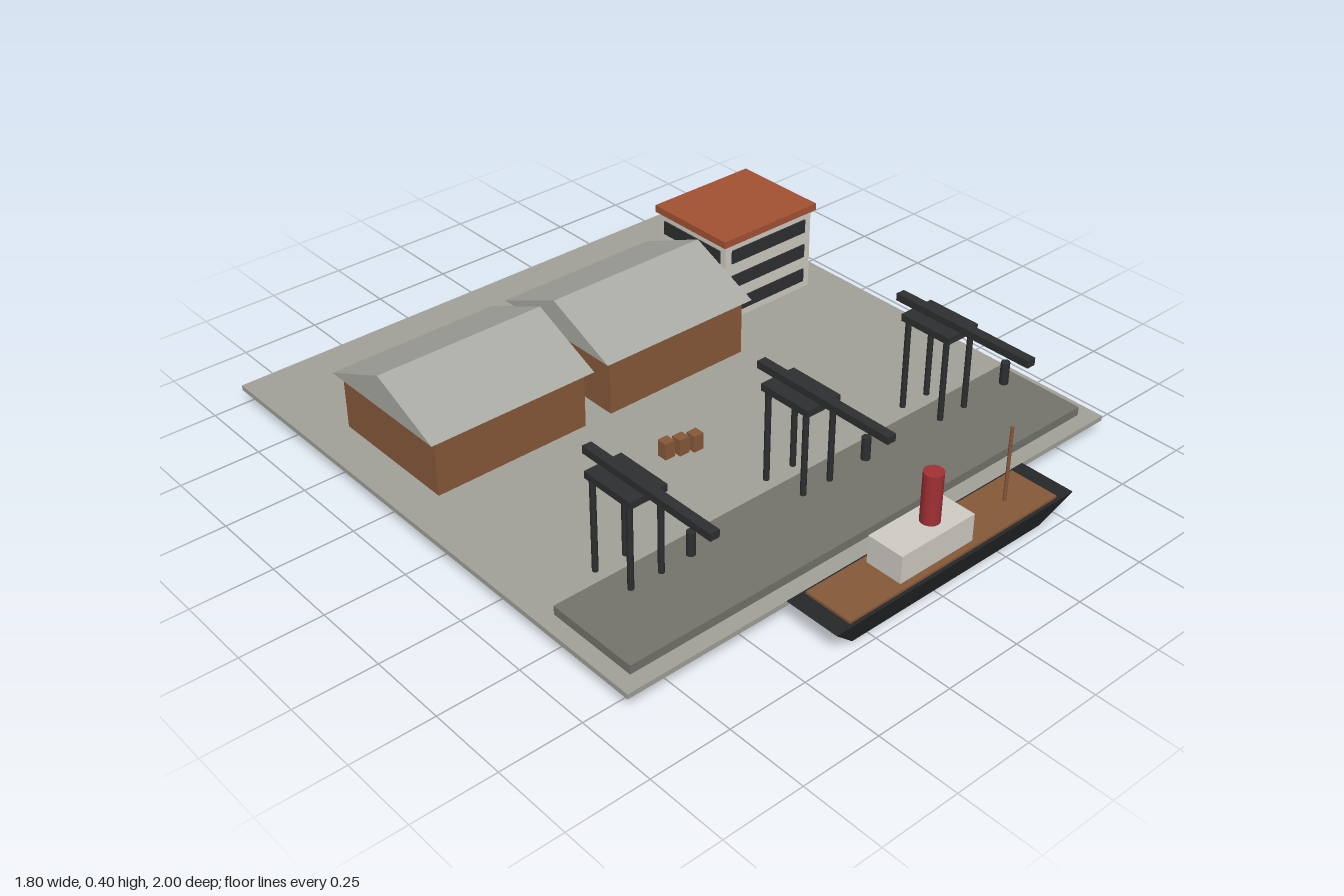
import * as THREE from 'three';

const mat = (name, color) => {
  const m = new THREE.MeshStandardMaterial({ color });
  m.name = name;
  return m;
};

export function createModel() {
  const concrete = mat('concrete', 0xa2a29a);
  const quayStone = mat('quayStone', 0x74736c);
  const brick = mat('brickAndWood', 0x87593a);
  const roofGrey = mat('roofGrey', 0xa9aaa3);
  const plaster = mat('plaster', 0xd0ccc5);
  const terracotta = mat('terracotta', 0xa35233);
  const steel = mat('darkSteel', 0x2d2f30);
  const hullBlack = mat('hullBlack', 0x26282a);
  const funnelRed = mat('funnelRed', 0xa03035);

  const root = new THREE.Group();
  root.name = 'harbour';

  const group = (name, x, z) => {
    const g = new THREE.Group();
    g.name = name;
    g.position.set(x, 0, z);
    root.add(g);
    return g;
  };
  const add = (parent, name, geo, material, x = 0, y = 0, z = 0) => {
    const m = new THREE.Mesh(geo, material);
    m.name = name;
    m.position.set(x, y, z);
    parent.add(m);
    return m;
  };
  // Box given by its centre in x and z and its bottom and top heights
  const box = (parent, name, material, x, z, w, d, y0, y1) =>
    add(parent, name, new THREE.BoxGeometry(w, y1 - y0, d), material, x, (y0 + y1) / 2, z);
  const post = (parent, name, material, x, z, r, y0, y1, sides) =>
    add(parent, name, new THREE.CylinderGeometry(r, r, y1 - y0, sides), material, x, (y0 + y1) / 2, z);

  // Ground slab and raised quay
  const G = 0.064;
  box(root, 'ground', concrete, 0, -0.1, 1.8, 1.8, 0.048, G);
  box(root, 'quay', quayStone, 0, 0.6, 1.7, 0.3, G, 0.092);

  // Two warehouses with gabled roofs
  for (const x of [-0.52, 0.09]) {
    const w = group('warehouse', x, -0.38);
    box(w, 'warehouseWalls', brick, 0, 0, 0.516, 0.45, G, 0.248);
    const gable = new THREE.Shape();
    gable.moveTo(-0.245, 0.248);
    gable.lineTo(0.245, 0.248);
    gable.lineTo(0, 0.356);
    gable.closePath();
    const roof = new THREE.ExtrudeGeometry(gable, { depth: 0.56, bevelEnabled: false });
    roof.translate(0, 0, -0.28).rotateY(Math.PI / 2);
    add(w, 'warehouseRoof', roof, roofGrey);
  }

  // Office block with window bands on all four sides
  const office = group('office', 0.607, -0.466);
  box(office, 'officeWalls', plaster, 0, 0, 0.365, 0.305, G, 0.338);
  box(office, 'officeRoof', terracotta, 0, 0, 0.39, 0.328, 0.338, 0.361);
  for (const y of [0.09, 0.179, 0.268]) {
    for (const s of [-1, 1]) {
      box(office, 'windowBand', steel, 0, s * 0.1535, 0.312, 0.008, y, y + 0.045);
      box(office, 'windowBand', steel, s * 0.1835, 0, 0.008, 0.262, y, y + 0.045);
    }
  }

  // Three quay cranes
  for (const x of [-0.61, 0, 0.55]) {
    const c = group('crane', x, 0);
    for (const lx of [-0.051, 0.051])
      for (const lz of [0.382, 0.527])
        post(c, 'craneLeg', steel, lx, lz, 0.009, 0.05, 0.355, 8);
    box(c, 'cranePlatform', steel, 0, 0.452, 0.122, 0.18, 0.354, 0.376);
    box(c, 'craneBoom', steel, 0, 0.542, 0.03, 0.49, 0.375, 0.398);
    post(c, 'craneHook', steel, 0, 0.7, 0.013, 0.28, 0.35, 10);
  }

  // Row of crates
  for (let i = 0; i < 3; i++)
    box(root, 'crate', brick, -0.185 + i * 0.043, 0.113 + i * 0.0125, 0.034, 0.034, 0.05, 0.118);

  // Ship: the hull is a box narrowed towards its keel
  const ship = group('ship', 0.06, 0.91);
  let hull = new THREE.BoxGeometry(0.91, 0.088, 0.18).toNonIndexed();
  const p = hull.attributes.position;
  for (let i = 0; i < p.count; i++)
    if (p.getY(i) < 0) p.setXYZ(i, p.getX(i) * 0.8, p.getY(i), p.getZ(i) * 0.65);
  hull.computeVertexNormals();
  add(ship, 'hull', hull, hullBlack, 0, 0.044, 0);
  box(ship, 'deck', brick, 0, 0, 0.796, 0.158, 0.086, 0.096);
  box(ship, 'cabin', plaster, -0.06, 0, 0.274, 0.12, 0.096, 0.183);
  post(ship, 'funnel', funnelRed, -0.03, 0, 0.029, 0.18, 0.338, 14);
  post(ship, 'mast', brick, 0.275, 0, 0.005, 0.094, 0.338, 8);

  return root;
}
